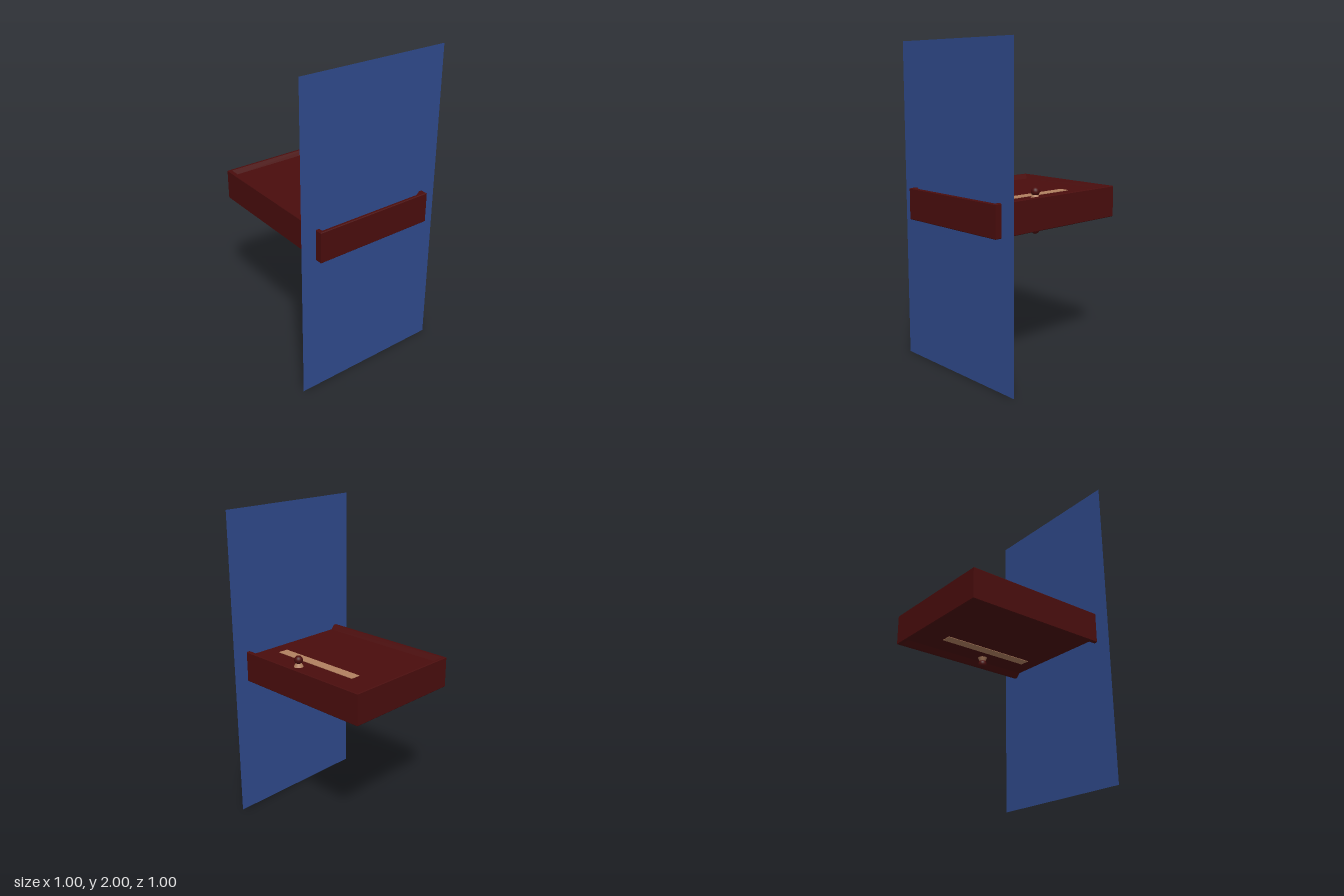
import * as THREE from 'three';

export function createModel() {
  const model = new THREE.Group();
  const maroon = new THREE.MeshStandardMaterial({ color: 0x4a0d0d });
  maroon.name = 'maroon';
  const tan = new THREE.MeshStandardMaterial({ color: 0xb28060 });
  tan.name = 'tan';
  const blue = new THREE.MeshStandardMaterial({ color: 0x2f4a8c, side: THREE.DoubleSide });
  blue.name = 'blue';

  const MID = 1.006, HALF = 0.099, PANEL = 0.071;

  function add(name, geometry, material, x, y, z, parent = model) {
    const mesh = new THREE.Mesh(geometry, material);
    mesh.name = name;
    mesh.position.set(x, y, z);
    parent.add(mesh);
    return mesh;
  }

  // Mitred rectangular frame: a closed profile of [x inset, z inset, y] swept round four corners
  function frameGeometry() {
    const upper = [[0, 0, HALF - 0.004], [0.004, 0.004, HALF],
      [0.023, 0.018, HALF], [0.048, 0.038, PANEL]];
    const lower = upper.map(([a, b, y]) => [a, b, -y]).reverse();
    const profile = [...upper, ...lower];
    const corners = [[-1, 1], [1, 1], [1, -1], [-1, -1]];
    const point = ([a, b, y], [sx, sz]) => [sx * (0.4 - a), y, sz * (0.5 - b)];
    const positions = [];
    profile.forEach((p, i) => {
      const q = profile[(i + 1) % profile.length];
      corners.forEach((c, j) => {
        const d = corners[(j + 1) % 4];
        const A = point(p, c), B = point(p, d), C = point(q, d), D = point(q, c);
        positions.push(...A, ...B, ...C, ...A, ...C, ...D);
      });
    });
    const g = new THREE.BufferGeometry();
    g.setAttribute('position', new THREE.Float32BufferAttribute(positions, 3));
    g.computeVertexNormals();
    return g;
  }

  // Frame and recessed panel, leaving a hairline gap at the front rail
  add('doorFrame', frameGeometry(), maroon, 0, MID, 0);
  add('doorPanel', new THREE.BoxGeometry(0.71, PANEL * 2, 0.924), maroon, 0, MID, -0.003);

  // Strip and knob on both faces of the panel
  for (const side of [1, -1]) {
    const fittings = new THREE.Group();
    fittings.name = side > 0 ? 'upperFittings' : 'lowerFittings';
    fittings.position.y = MID;
    if (side < 0) fittings.rotation.z = Math.PI;
    model.add(fittings);
    add('strip', new THREE.BoxGeometry(0.066, 0.004, 0.64), tan,
      side * 0.182, PANEL + 0.001, 0.04, fittings);
    add('knobBase', new THREE.CylinderGeometry(0.017, 0.03, 0.026, 20), tan,
      side * 0.294, PANEL + 0.013, 0.09, fittings);
    add('knob', new THREE.SphereGeometry(0.027, 20, 14), maroon,
      side * 0.294, 0.114, 0.09, fittings);
  }

  // Upright sheet crossing the door near its front rail
  add('sheet', new THREE.PlaneGeometry(1, 2), blue, 0, 1, 0.455);

  return model;
}
